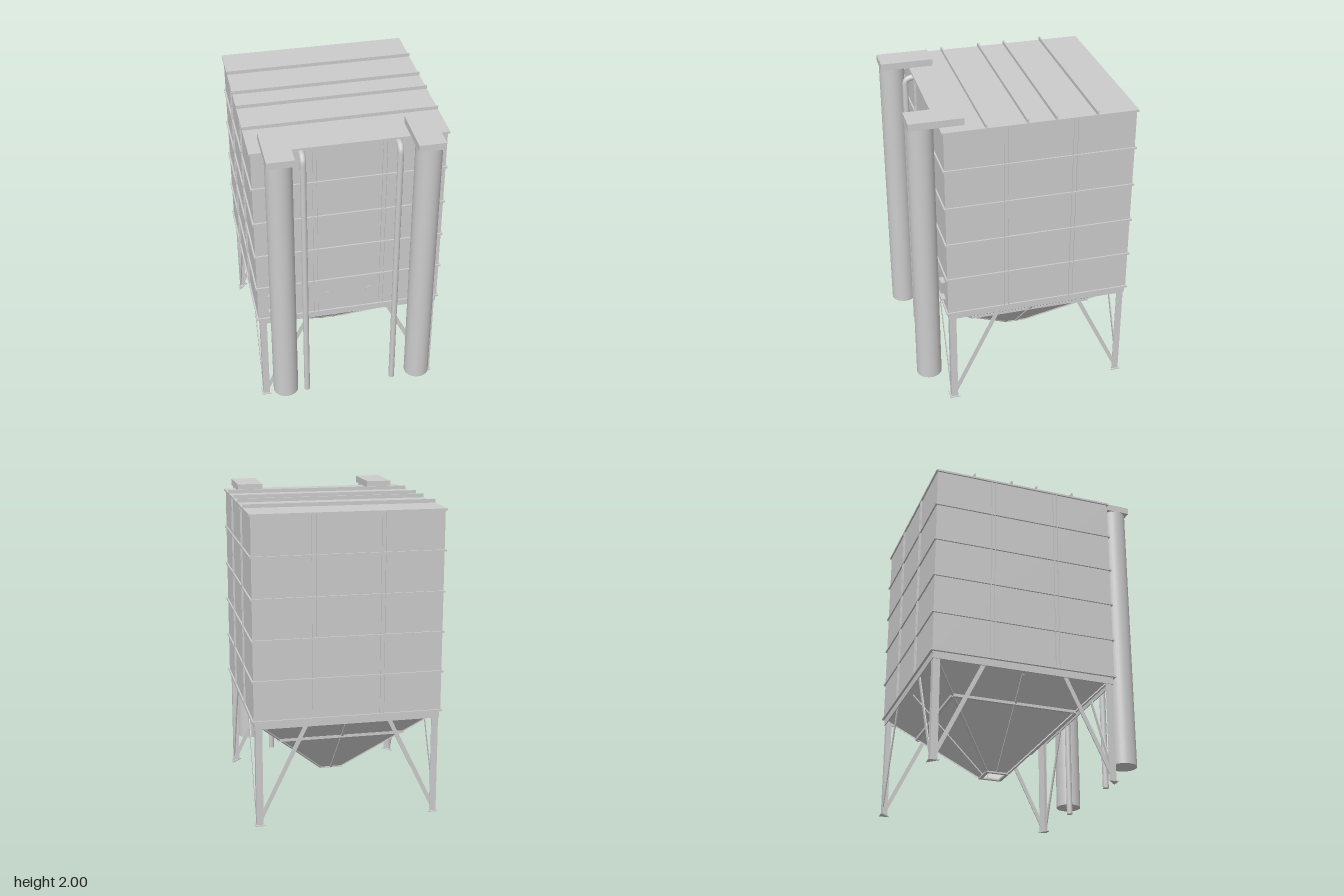
import * as THREE from 'three';

const material = new THREE.MeshStandardMaterial({ color: 0xcccccc, side: THREE.DoubleSide });
const flat = new THREE.MeshStandardMaterial({ color: 0xcccccc, flatShading: true, side: THREE.DoubleSide });
const UP = new THREE.Vector3(0, 1, 0);

function add(parent, name, geometry, x = 0, y = 0, z = 0, mat = material) {
  const mesh = new THREE.Mesh(geometry, mat);
  mesh.name = name;
  mesh.position.set(x, y, z);
  parent.add(mesh);
  return mesh;
}

function box(parent, name, w, h, d, x, y, z) {
  return add(parent, name, new THREE.BoxGeometry(w, h, d), x, y, z);
}

// Straight bar between two points, in the parent's own frame
function bar(parent, name, a, b, w, d) {
  const p = new THREE.Vector3(...a), q = new THREE.Vector3(...b);
  const mesh = add(parent, name, new THREE.BoxGeometry(w, d, p.distanceTo(q)));
  mesh.position.lerpVectors(p, q, 0.5);
  mesh.quaternion.setFromRotationMatrix(new THREE.Matrix4().lookAt(q, p, UP));
  return mesh;
}

// Flat outline extruded upwards from y = 0
function plate(points, height, hole) {
  const shape = new THREE.Shape(points.map(([x, z]) => new THREE.Vector2(x, -z)));
  if (hole) shape.holes.push(new THREE.Path(hole.map(([x, z]) => new THREE.Vector2(x, -z))));
  return new THREE.ExtrudeGeometry(shape, { depth: height, bevelEnabled: false }).rotateX(-Math.PI / 2);
}

const square = (h) => [[-h, -h], [h, -h], [h, h], [-h, h]];

export function createModel() {
  const model = new THREE.Group();
  model.name = 'hopperSilo';

  // The bin sits behind the centre, leaving room for the front tubes
  const bin = new THREE.Group();
  bin.name = 'bin';
  bin.position.z = -0.09;
  model.add(bin);

  box(bin, 'binBody', 1.18, 1.27, 1.18, 0, 1.32, 0);
  box(bin, 'roof', 1.2, 0.01, 1.2, 0, 1.951, 0);
  add(bin, 'baseFrame', plate(square(0.585), 0.05, square(0.579)), 0, 0.635, 0);

  // Hopper with an open square outlet
  const hopper = new THREE.CylinderGeometry(0.588 * Math.SQRT2, 0.07 * Math.SQRT2, 0.527, 4, 1, true).rotateY(Math.PI / 4);
  add(bin, 'hopper', hopper, 0, 0.4195, 0, flat);
  add(bin, 'outletFlange', plate(square(0.075), 0.01, square(0.055)), 0, 0.15, 0);

  // Everything that repeats on the four sides
  for (let k = 0; k < 4; k++) {
    const side = new THREE.Group();
    side.name = 'side' + k;
    side.rotation.y = k * Math.PI / 2;
    bin.add(side);

    for (let i = 0; i < 6; i++) {
      box(side, 'wallRail', 1.2, 0.012, 0.014, 0, 0.686 + i * 0.2535 - (i === 5 ? 0.004 : 0), 0.593);
    }
    for (const s of [-1, 1]) {
      // Wall stiffener made of a pair of thin fins
      for (const x of [0.2, 0.226]) box(side, 'wallStiffenerFin', 0.004, 1.26, 0.012, s * x, 1.32, 0.593);
      bar(side, 'legBrace', [s * 0.555, 0.04, 0.576], [s * 0.262, 0.645, 0.576], 0.006, 0.026);
    }

    // Hopper ribs
    bar(side, 'hopperRib', [0, 0.635, 0.543], [0, 0.16, 0.075], 0.014, 0.014);
    box(side, 'hopperRail', 0.8, 0.018, 0.02, 0, 0.492, 0.402);
    bar(side, 'hopperCorner', [0.58, 0.676, 0.58], [0.072, 0.157, 0.072], 0.018, 0.008);

    // Angle-section leg with a triangular foot
    const t = 0.58;
    add(side, 'leg', plate([[t, t], [t - 0.043, t], [t - 0.043, t - 0.006], [t - 0.006, t - 0.006],
      [t - 0.006, t - 0.043], [t, t - 0.043]], 0.68), 0, 0.005, 0);
    add(side, 'foot', plate([[0.59, 0.59], [0.525, 0.59], [0.59, 0.525]], 0.006));
  }

  // Roof ribs
  for (const z of [-0.432, -0.179, -0.005, 0.246]) {
    box(model, 'roofRib', 1.2, 0.024, 0.011, 0, 1.967, z);
  }

  for (const s of [-1, 1]) {
    // Large front tube with its roof duct and wall brackets
    add(model, 'frontTube', new THREE.CylinderGeometry(0.081, 0.081, 1.81, 40), s * 0.445, 1.055, 0.609);
    box(model, 'roofDuct', 0.165, 0.044, 0.333, s * 0.443, 1.978, 0.5235);
    for (const y of [0.755, 0.88]) box(model, 'tubeBracket', 0.06, 0.006, 0.03, s * 0.495, y, 0.513);

    // Fill pipe bending into the front wall
    const path = new THREE.CurvePath();
    const v = (y, z) => new THREE.Vector3(s * 0.292, y, z);
    path.add(new THREE.LineCurve3(v(0.056, 0.552), v(1.88, 0.552)));
    path.add(new THREE.QuadraticBezierCurve3(v(1.88, 0.552), v(1.922, 0.552), v(1.922, 0.49)));
    add(model, 'fillPipe', new THREE.TubeGeometry(path, 120, 0.019, 16));
    const end = add(model, 'pipeEnd', new THREE.CircleGeometry(0.019, 16), s * 0.292, 0.056, 0.552);
    end.rotation.x = Math.PI / 2;

    // Round inspection port, nearly flush with the wall
    const port = add(model, 'inspectionPort', new THREE.CylinderGeometry(0.027, 0.027, 0.008, 24), s * 0.138, 0.817, 0.5);
    port.rotation.x = Math.PI / 2;
  }

  return model;
}
